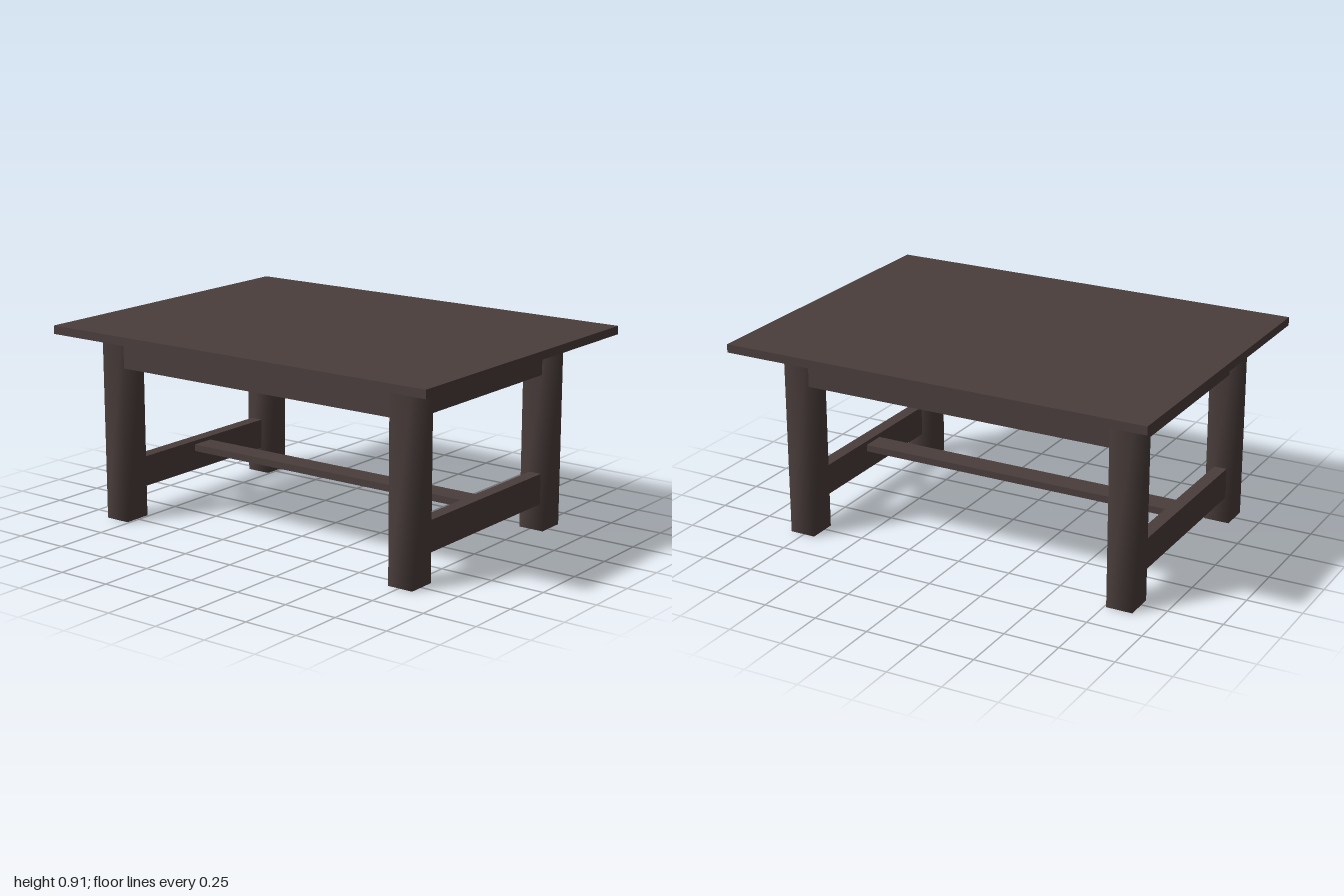
import * as THREE from 'three';
import { toCreasedNormals } from 'three/addons/utils/BufferGeometryUtils.js';

export function createModel() {
  const table = new THREE.Group();
  table.name = 'table';
  const wood = new THREE.MeshStandardMaterial({ color: 0x4a3e3c, side: THREE.DoubleSide });
  wood.name = 'dark wood';

  // Hollow box between two corners, keeping only the listed sides
  const sideOrder = ['+x', '-x', '+y', '-y', '+z', '-z'];
  const shell = (name, [x0, x1], [y0, y1], [z0, z1], sides, smooth = false) => {
    let g = new THREE.BoxGeometry(x1 - x0, y1 - y0, z1 - z0);
    const index = Array.from(g.index.array);
    g.setIndex(sides.flatMap((s) => {
      const start = sideOrder.indexOf(s) * 6;
      return index.slice(start, start + 6);
    }));
    g.clearGroups();
    g.translate((x0 + x1) / 2, (y0 + y1) / 2, (z0 + z1) / 2);
    if (smooth) g = toCreasedNormals(g, 1.7);
    const mesh = new THREE.Mesh(g, wood);
    mesh.name = name;
    table.add(mesh);
  };

  // Flat upright panel through two floor points
  const panel = (name, width, [y0, y1], x, z, turn) => {
    const g = new THREE.PlaneGeometry(width, y1 - y0);
    g.rotateY(turn);
    g.translate(x, (y0 + y1) / 2, z);
    const mesh = new THREE.Mesh(g, wood);
    mesh.name = name;
    table.add(mesh);
  };

  // Top with a hanging rim, open underneath
  shell('tableTop', [-0.749, 0.749], [0.875, 0.913], [-1, 1], ['+x', '-x', '+y', '+z', '-z']);

  // Hollow legs reaching up inside the rim
  const reach = 0.912;
  const legX = { right: [-0.565, -0.43], left: [0.453, 0.589] };
  const legZ = { front: [0.696, 0.817], back: [-0.88, -0.76] };
  for (const side in legX) {
    for (const end in legZ) {
      shell(`${end}Leg ${side}`, legX[side], [0, reach], legZ[end], ['+x', '-x', '+z', '-z'], true);
    }
  }

  // Thin aprons between the legs
  const apronY = [0.716, reach];
  panel('sideApron left', 1.456, apronY, 0.584, -0.032, Math.PI / 2);
  panel('sideApron right', 1.456, apronY, -0.56, -0.032, -Math.PI / 2);
  panel('endApron front', 0.883, apronY, 0.0115, 0.793, 0);
  panel('endApron back', 0.883, apronY, 0.0115, -0.855, Math.PI);

  // Low cross rails and the plank joining them, all open underneath
  const span = [-0.43, 0.453];
  const railY = [0.124, 0.265];
  shell('crossRail front', span, railY, [0.74, 0.8], ['+y', '+z', '-z']);
  shell('crossRail back', span, railY, [-0.86, -0.8], ['+y', '+z', '-z']);
  shell('centreStretcher', [-0.045, 0.067], [0.215, 0.247], [-0.8, 0.74], ['+x', '-x', '+y']);

  return table;
}
